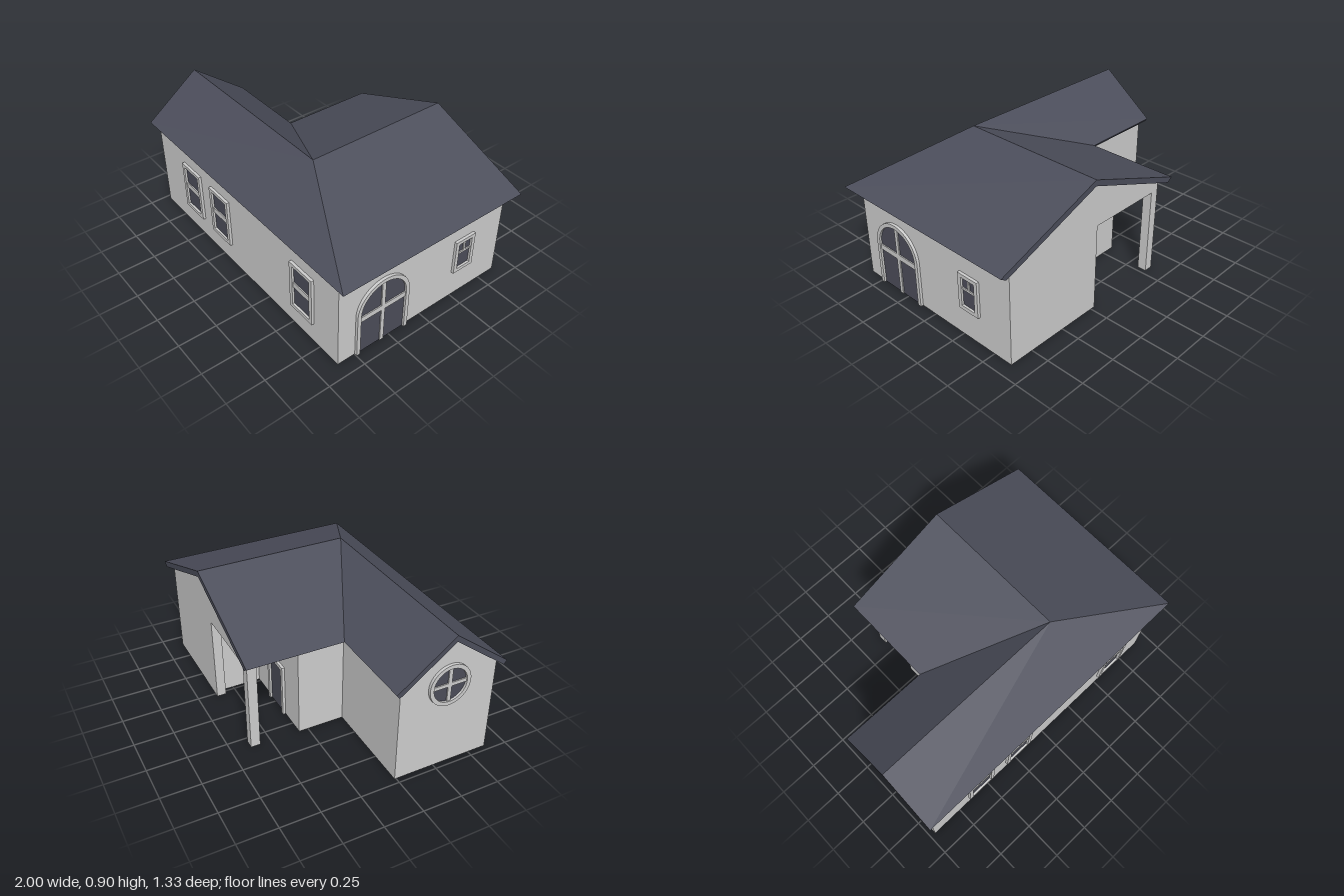
import * as THREE from 'three';

const wallMat = new THREE.MeshStandardMaterial({ color: 0xcccccc });
const roofMat = new THREE.MeshStandardMaterial({ color: 0x4b4d5a });
const glassMat = new THREE.MeshStandardMaterial({ color: 0x4b4c58 });

function add(parent, name, geo, mat) {
  const m = new THREE.Mesh(geo, mat);
  m.name = name;
  parent.add(m);
  return m;
}

const extrude = (shape, depth) =>
  new THREE.ExtrudeGeometry(shape, { depth, bevelEnabled: false, curveSegments: 20 });

const polygon = (pts) => new THREE.Shape(pts.map(([x, y]) => new THREE.Vector2(x, y)));

// Prism over a ground plan given as [x, z] corners
function planPrism(pts, y0, y1) {
  return extrude(polygon(pts.map(([x, z]) => [x, -z])), y1 - y0)
    .rotateX(-Math.PI / 2).translate(0, y0, 0);
}

const rect = (x0, y0, x1, y1) => polygon([[x0, y0], [x1, y0], [x1, y1], [x0, y1]]);

const disc = (r) => new THREE.Shape().absarc(0, 0, r, 0, Math.PI * 2, false);

function arch(r, springY) {
  return new THREE.Shape().moveTo(r, 0).lineTo(r, springY)
    .absarc(0, springY, r, 0, Math.PI, false).lineTo(-r, 0);
}

// Raised frame, pane and glazing bars, facing +z; bars are [x0, y0, x1, y1]
function opening(parent, name, frame, pane, bars, pos, turn = 0) {
  const g = new THREE.Group();
  g.name = name;
  add(g, name + 'Frame', extrude(frame, 0.018), wallMat);
  add(g, name + 'Glass', extrude(pane, 0.004), glassMat);
  for (const b of bars) add(g, name + 'Bar', extrude(rect(...b), 0.011), wallMat);
  g.position.set(...pos);
  g.rotation.y = turn;
  parent.add(g);
}

function ring(outer, inner) {
  outer.holes.push(inner);
  return outer;
}

// L-shaped roof: a hip at the front corner, a valley at the inner corner, two gables
function roofGeometry() {
  const e = 0.635, r = 0.905, eb = 0.61, rb = 0.866;
  const top = [
    [-1, e, 0.665], [1, e, 0.665], [1, e, -0.665], [0.285, r, -0.665], [-0.43, e, -0.665],
    [-0.43, e, -0.055], [-1, e, -0.055], [-1, r, 0.305], [0.285, r, 0.305],
  ];
  const low = [
    [-1, eb, 0.646], [0.963, eb, 0.646], [0.963, eb, -0.665], [0.285, rb, -0.665], [-0.393, eb, -0.665],
    [-0.393, eb, -0.036], [-1, eb, -0.036], [-1, rb, 0.305], [0.285, rb, 0.305],
  ];
  const pos = [];
  const quad = (a, b, c, d) => pos.push(...a, ...b, ...c, ...a, ...c, ...d);
  for (const [a, b, c, d] of [[0, 1, 8, 7], [1, 2, 3, 8], [8, 3, 4, 5], [8, 5, 6, 7]]) {
    quad(top[a], top[b], top[c], top[d]);
    quad(low[d], low[c], low[b], low[a]);
  }
  for (let i = 0; i < 8; i++) {
    const j = (i + 1) % 8;
    quad(top[i], low[i], low[j], top[j]);
  }
  const geo = new THREE.BufferGeometry();
  geo.setAttribute('position', new THREE.Float32BufferAttribute(pos, 3));
  geo.computeVertexNormals();
  return geo;
}

export function createModel() {
  const house = new THREE.Group();
  house.name = 'house';

  // Walls with the porch cut out of the back corner
  add(house, 'walls', planPrism([
    [-0.965, 0.62], [0.91, 0.62], [0.91, -0.63], [0.22, -0.63], [0.22, -0.57], [0.27, -0.57],
    [0.27, -0.31], [-0.34, -0.31], [-0.34, -0.01], [-0.965, -0.01],
  ], 0, 0.57), wallMat);
  add(house, 'upperWalls', planPrism([
    [-0.965, 0.62], [0.91, 0.62], [0.91, -0.63], [-0.34, -0.63], [-0.34, -0.01], [-0.965, -0.01],
  ], 0.57, 0.627), wallMat);
  add(house, 'porchPost', new THREE.BoxGeometry(0.057, 0.57, 0.06).translate(-0.3115, 0.285, -0.6), wallMat);

  // Gables under the roof
  add(house, 'backGable',
    extrude(polygon([[-0.34, 0.627], [0.91, 0.627], [0.285, 0.866]]), 0.935).translate(0, 0, -0.63), wallMat);
  add(house, 'sideGable',
    extrude(polygon([[-0.62, 0.627], [0.01, 0.627], [-0.305, 0.866]]), 1.25)
      .rotateY(Math.PI / 2).translate(-0.965, 0, 0), wallMat);

  add(house, 'roof', roofGeometry(), roofMat);

  // Front sash windows
  for (const x of [-0.568, -0.245, 0.595]) {
    opening(house, 'frontWindow',
      ring(rect(-0.102, 0.145, 0.102, 0.485), rect(-0.077, 0.17, 0.077, 0.463)),
      rect(-0.077, 0.17, 0.077, 0.463), [[-0.077, 0.3, 0.077, 0.338]], [x, 0, 0.62]);
  }

  // Arched glass door on the +x side
  const R = 0.19, r = 0.165, cy = 0.295;
  const archFrame = new THREE.Shape().moveTo(R, 0).lineTo(R, cy)
    .absarc(0, cy, R, 0, Math.PI, false).lineTo(-R, 0).lineTo(-r, 0).lineTo(-r, cy)
    .absarc(0, cy, r, Math.PI, 0, true).lineTo(r, 0);
  opening(house, 'archedDoor', archFrame, arch(r, cy),
    [[-0.013, 0, 0.013, 0.462], [-r, 0.246, r, 0.282]], [0.91, 0, 0.308], Math.PI / 2);

  // Small window beside it
  opening(house, 'smallWindow',
    ring(rect(-0.077, 0.195, 0.077, 0.434), rect(-0.052, 0.22, 0.052, 0.41)),
    rect(-0.052, 0.22, 0.052, 0.41),
    [[-0.052, 0.327, 0.052, 0.341], [-0.007, 0.341, 0.007, 0.41]], [0.91, 0, -0.318], Math.PI / 2);

  // Round window in the side gable
  opening(house, 'roundWindow', ring(disc(0.135), disc(0.11)), disc(0.11),
    [[-0.012, -0.11, 0.012, 0.11], [-0.11, -0.012, 0.11, 0.012]], [-0.965, 0.57, 0.305], -Math.PI / 2);

  // Entrance door inside the porch
  opening(house, 'porchDoor',
    polygon([[-0.11, 0], [-0.11, 0.355], [0.11, 0.355], [0.11, 0], [0.085, 0], [0.085, 0.33], [-0.085, 0.33], [-0.085, 0]]),
    rect(-0.085, 0, 0.085, 0.33), [], [-0.035, 0, -0.31], Math.PI);

  return house;
}
